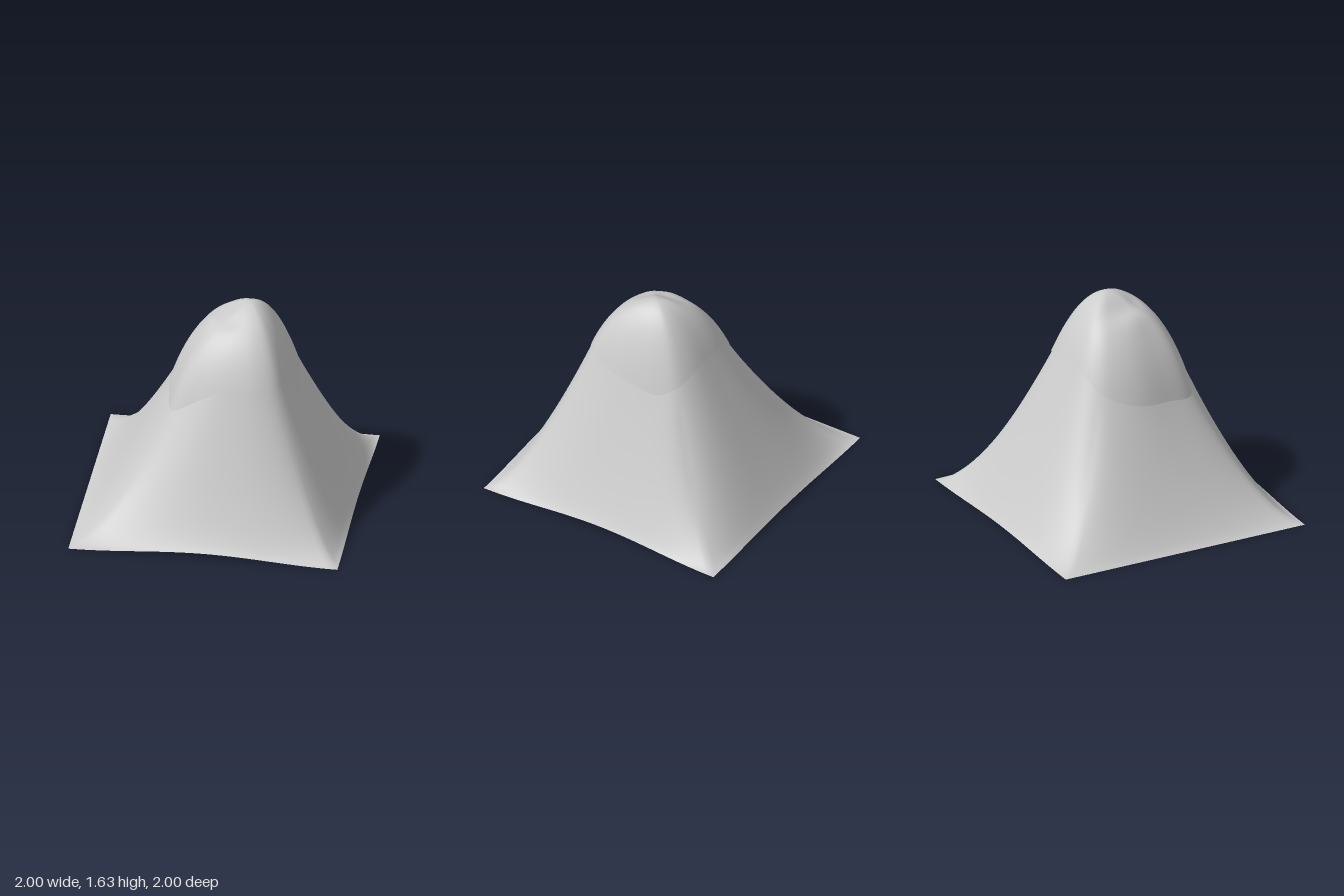
import * as THREE from 'three';

const SEG = 128; // steps around, divisible by 4 so the base corners stay sharp

// Snow line (x, y, z): four points per side, starting at the +x +z corner
const snowLine = new THREE.CatmullRomCurve3([
  [0.46, 1.15, 0.41], [0.53, 1.13, 0.22], [0.55, 1.09, 0.02], [0.53, 1.05, -0.2],
  [0.45, 1.11, -0.33], [0.3, 1.18, -0.38], [0.1, 1.21, -0.385], [-0.12, 1.17, -0.38],
  [-0.28, 1.06, -0.32], [-0.36, 0.99, -0.2], [-0.4, 0.94, -0.02], [-0.375, 0.92, 0.2],
  [-0.32, 0.9, 0.42], [-0.12, 1.03, 0.48], [0.12, 1.15, 0.487], [0.33, 1.16, 0.475],
].map(p => new THREE.Vector3(...p)), true);

// Inner edge of the snow line, where the slopes begin beneath the cap
function slopeTop(t) {
  const p = snowLine.getPoint(t);
  return p.set(0.08 + (p.x - 0.08) * 0.98, p.y + 0.008, 0.05 + (p.z - 0.05) * 0.98);
}

// Square base outline, each side arching a little off the ground
const corners = [[1, 1], [1, -1], [-1, -1], [-1, 1]];
const arch = [0.06, 0.03, 0, 0.045];
function basePoint(t) {
  const side = Math.floor(t * 4), w = t * 4 - side;
  const a = corners[side], b = corners[(side + 1) % 4];
  return new THREE.Vector3(
    a[0] + (b[0] - a[0]) * w,
    arch[side] * Math.sin(Math.PI * w) ** 2,
    a[1] + (b[1] - a[1]) * w);
}

// 1 towards the front left corner (-x +z), 0 towards the opposite one
const frontLeft = t => 0.5 - 0.5 * Math.sin(2 * Math.PI * t);

// Closed-loop surface: point(s, t) with s running from the top outwards, t around
function loopSurface(name, rings, point) {
  const pos = [], index = [];
  for (let i = 0; i <= rings; i++) {
    for (let j = 0; j < SEG; j++) pos.push(...point(i / rings, j / SEG).toArray());
  }
  for (let i = 0; i < rings; i++) {
    for (let j = 0; j < SEG; j++) {
      const a = i * SEG + j, b = i * SEG + (j + 1) % SEG;
      index.push(a, a + SEG, b, b, a + SEG, b + SEG);
    }
  }
  const geo = new THREE.BufferGeometry();
  geo.setAttribute('position', new THREE.Float32BufferAttribute(pos, 3));
  geo.setIndex(index);
  geo.computeVertexNormals();
  const mesh = new THREE.Mesh(geo, new THREE.MeshStandardMaterial({ color: 0xcccccc, side: THREE.DoubleSide }));
  mesh.name = name;
  return mesh;
}

const bump = (x, z, cx, cz, rx, rz) => Math.exp(-(((x - cx) / rx) ** 2) - ((z - cz) / rz) ** 2);

export function createModel() {
  const group = new THREE.Group();
  group.name = 'mountain';

  // Slopes: nearly straight on the faces, sagging more along the corner ridges
  group.add(loopSurface('slopes', 28, (s, t) => {
    const top = slopeTop(t), base = basePoint(t);
    const corner = Math.abs(2 * ((t * 4) % 1) - 1) ** 3.5;
    const power = THREE.MathUtils.lerp(1.08 + 0.22 * frontLeft(t), 1.66, corner);
    const p = top.clone().lerp(base, s);
    p.y = base.y + (top.y - base.y) * Math.pow(1 - s, power);
    return p;
  }));

  // Snow cap: round dome behind, sloping shoulder with a steep rim to the front left
  const peak = new THREE.Vector3(0.2, 1.63, 0);
  group.add(loopSurface('snowCap', 28, (q, t) => {
    const rim = snowLine.getPoint(t);
    const p = peak.clone().lerp(rim, q);
    const softCone = (Math.sqrt(q * q + 0.01) - 0.1) / (Math.sqrt(1.01) - 0.1);
    const shoulder = 0.42 * softCone + 0.58 * q ** 4;
    const drop = THREE.MathUtils.lerp(q ** 2, shoulder, frontLeft(t));
    p.y = peak.y + (rim.y - peak.y) * drop;
    // small dents and lumps on top
    p.y -= 0.025 * bump(p.x, p.z, 0.02, 0.0, 0.08, 0.15);
    p.y -= 0.015 * bump(p.x, p.z, 0.1, 0.17, 0.07, 0.06);
    p.y += 0.02 * bump(p.x, p.z, -0.1, 0.08, 0.08, 0.1);
    return p;
  }));

  // Lip closing the overhang back to the slopes
  group.add(loopSurface('snowLip', 1, (s, t) => snowLine.getPoint(t).lerp(slopeTop(t), s)));

  return group;
}
